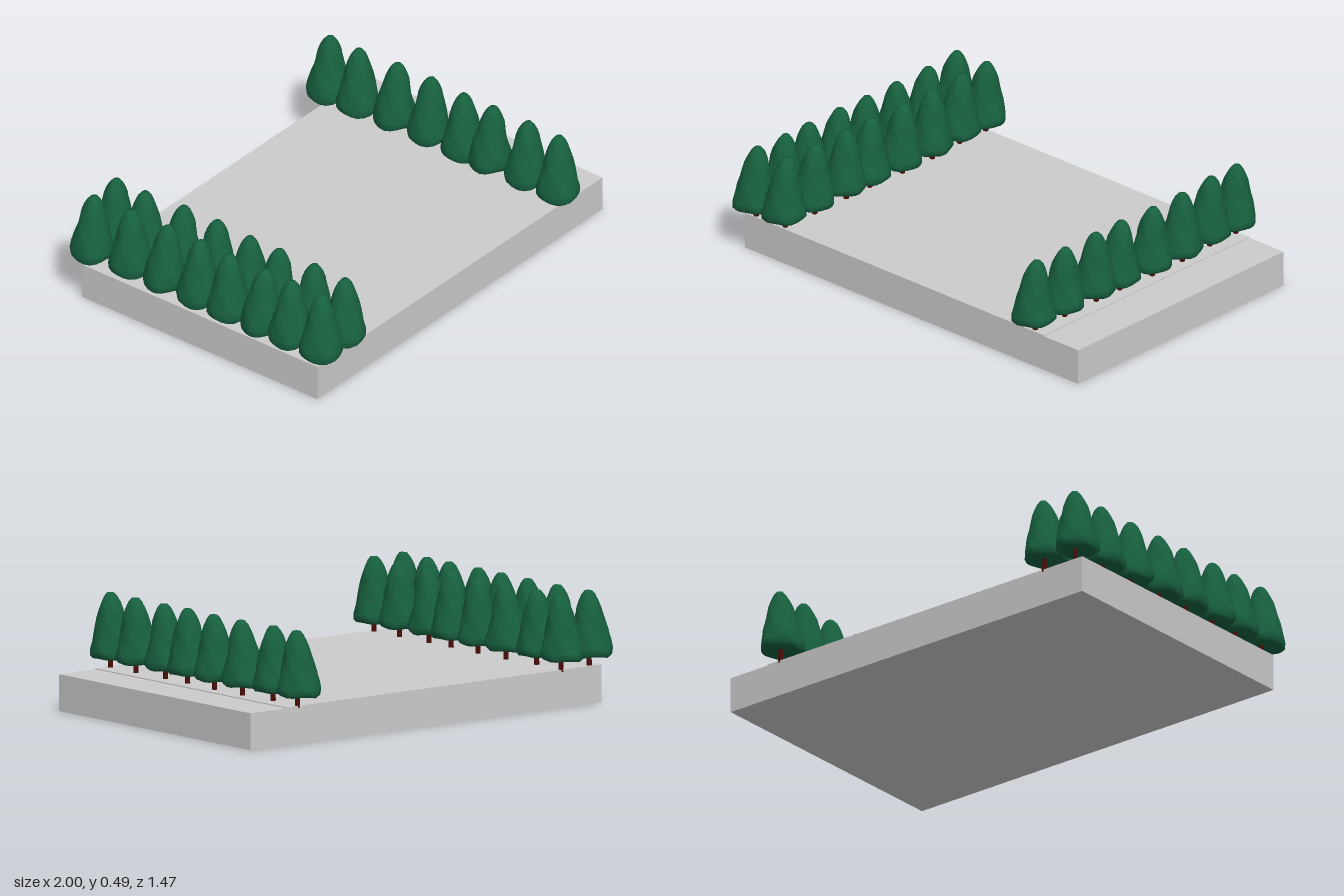
import * as THREE from 'three';

const grey = new THREE.MeshStandardMaterial({ color: 0xcccccc });
const green = new THREE.MeshStandardMaterial({ color: 0x17613f, side: THREE.DoubleSide });
const brown = new THREE.MeshStandardMaterial({ color: 0x4a0d08 });

// Conical crown, gently lobed, with a drooping hem and a leaning tip
function crownGeometry() {
  const profile = [
    [0, 0.222], [0.05, 0.212], [0.082, 0.208], [0.095, 0.222], [0.095, 0.245],
    [0.086, 0.28], [0.079, 0.315], [0.069, 0.35], [0.061, 0.385], [0.053, 0.42],
    [0.042, 0.45], [0.03, 0.475], [0.017, 0.491], [0, 0.493],
  ].map(([r, y]) => new THREE.Vector2(r, y));
  const geo = new THREE.LatheGeometry(profile, 18);
  const p = geo.attributes.position;
  for (let i = 0; i < p.count; i++) {
    const x = p.getX(i), y = p.getY(i), z = p.getZ(i);
    const a = Math.atan2(z, x), r = Math.hypot(x, z);
    const lobes = 1 + 0.035 * Math.sin(3 * a + y * 30) + 0.025 * Math.sin(5 * a - y * 45);
    const droop = y < 0.24 ? -0.1 * Math.max(0, -x) + 0.003 * Math.sin(4 * a) * (r / 0.09) : 0;
    const lean = Math.max(0, y - 0.3) * 0.07;
    p.setXYZ(i, x * lobes + lean, y + droop, z * lobes);
  }
  // Merge the normals across the lathe seam
  geo.computeVertexNormals();
  const n = geo.attributes.normal, rows = profile.length, last = p.count - rows;
  for (let i = 0; i < rows; i++) {
    const v = new THREE.Vector3().fromBufferAttribute(n, i)
      .add(new THREE.Vector3().fromBufferAttribute(n, last + i)).normalize();
    n.setXYZ(i, v.x, v.y, v.z);
    n.setXYZ(last + i, v.x, v.y, v.z);
  }
  return geo;
}

export function createModel() {
  const model = new THREE.Group();
  model.name = 'tree lined plot';

  // Ground slab, with a slightly lower strip along one edge
  const slab = (name, x0, x1, height) => {
    const mesh = new THREE.Mesh(new THREE.BoxGeometry(x1 - x0, height, 1.3), grey);
    mesh.position.set((x0 + x1) / 2, height / 2, 0);
    mesh.name = name;
    model.add(mesh);
  };
  slab('groundSlab', -0.95, 0.8, 0.165);
  slab('edgeStrip', 0.8, 1, 0.161);

  const crownGeo = crownGeometry();
  const trunkGeo = new THREE.CylinderGeometry(0.009, 0.012, 0.09, 8);

  function makeTree(x, z, turn) {
    const tree = new THREE.Group();
    tree.name = 'tree';
    const crown = new THREE.Mesh(crownGeo, green);
    crown.name = 'crown';
    crown.rotation.y = turn;
    const trunk = new THREE.Mesh(trunkGeo, brown);
    trunk.name = 'trunk';
    trunk.position.set(0.008, 0.2, 0);
    tree.add(crown, trunk);
    tree.position.set(x, 0, z);
    return tree;
  }

  // Rows of trees: [x, z] for each one
  const outer = [[-0.905, -0.63], [-0.89, -0.43], [-0.89, -0.24], [-0.895, -0.05],
    [-0.9, 0.12], [-0.9, 0.305], [-0.9, 0.46], [-0.905, 0.635]];
  const inner = [[-0.74, -0.64], [-0.74, -0.475], [-0.725, -0.285], [-0.725, -0.095],
    [-0.735, 0.1], [-0.735, 0.25], [-0.735, 0.45], [-0.74, 0.63]];
  const rows = { outerTreeRow: outer, innerTreeRow: inner,
    farTreeRow: inner.map(([x, z]) => [x + 1.463, z]) };
  for (const [name, spots] of Object.entries(rows)) {
    const row = new THREE.Group();
    row.name = name;
    spots.forEach(([x, z], i) => row.add(makeTree(x, z, 0.5 * Math.sin(i * 2.1))));
    model.add(row);
  }
  return model;
}
